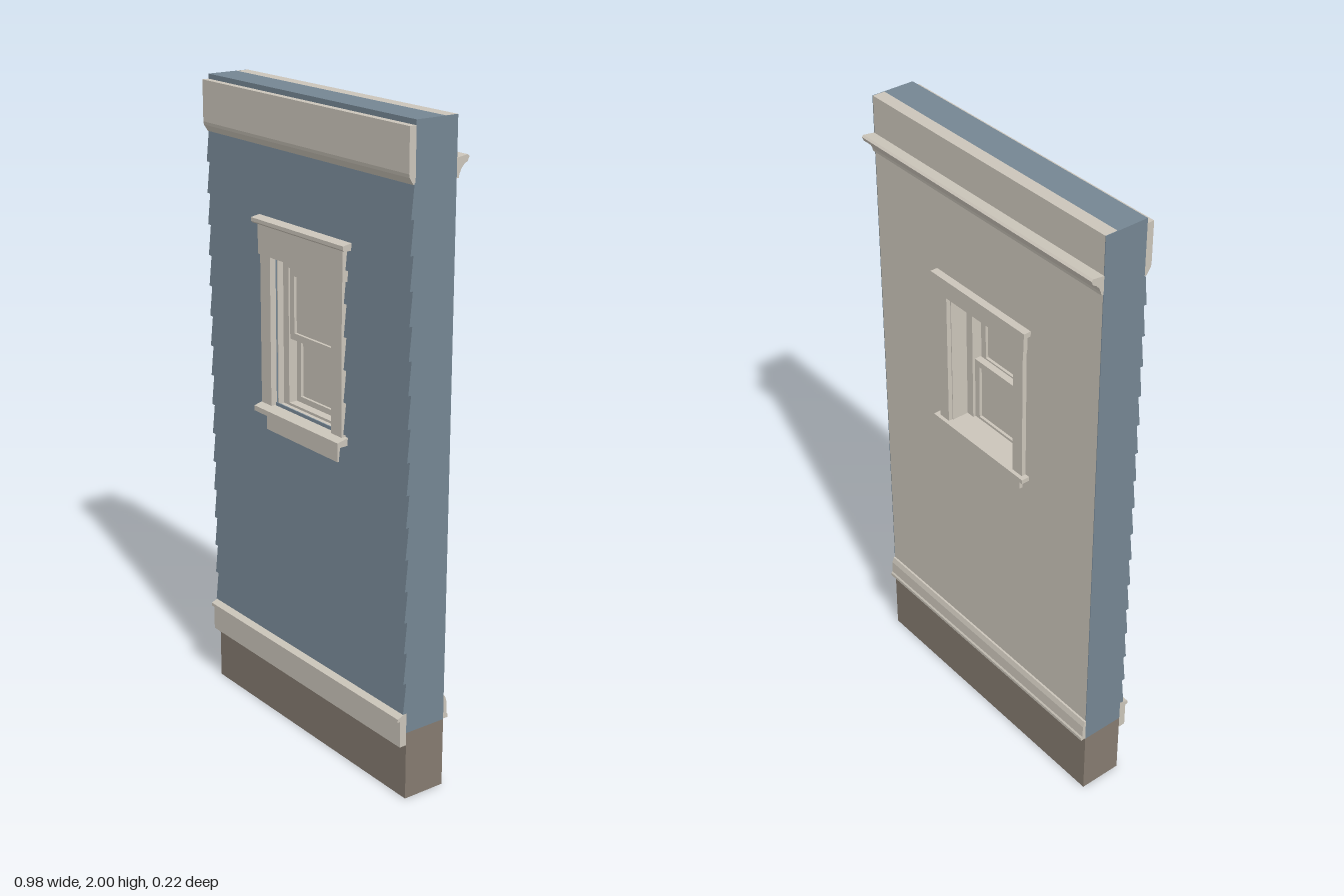
import * as THREE from 'three';

const mat = (name, color) => {
  const m = new THREE.MeshStandardMaterial({ color });
  m.name = name;
  return m;
};

export function createModel() {
  const root = new THREE.Group();
  root.name = 'wallSection';
  const cream = mat('creamTrim', 0xcbc5ba);
  const blue = mat('blueSiding', 0x758693);
  const brown = mat('brownFoundation', 0x857b70);
  const W = 0.49;

  const add = (parent, name, geo, material) => {
    const mesh = new THREE.Mesh(geo, material);
    mesh.name = name;
    parent.add(mesh);
    return mesh;
  };
  // box given by its limits on each axis
  const box = (parent, name, material, x0, x1, y0, y1, z0, z1) => {
    const geo = new THREE.BoxGeometry(x1 - x0, y1 - y0, z1 - z0);
    geo.translate((x0 + x1) / 2, (y0 + y1) / 2, (z0 + z1) / 2);
    return add(parent, name, geo, material);
  };
  // [z, y] profile run along x
  const moulding = (parent, name, material, profile, x0, x1) => {
    const shape = new THREE.Shape(profile.map(([z, y]) => new THREE.Vector2(z, y)));
    const geo = new THREE.ExtrudeGeometry(shape, { depth: x1 - x0, bevelEnabled: false });
    geo.rotateY(-Math.PI / 2).translate(x1, 0, 0);
    return add(parent, name, geo, material);
  };
  // rectangular panel with a rectangular hole
  const frame = (parent, name, material, w, y0, y1, hw, h0, h1, z0, z1) => {
    const rect = (a, b, c) => [[-a, b], [a, b], [a, c], [-a, c]].map(p => new THREE.Vector2(...p));
    const shape = new THREE.Shape(rect(w, y0, y1));
    shape.holes.push(new THREE.Path(rect(hw, h0, h1)));
    const geo = new THREE.ExtrudeGeometry(shape, { depth: z1 - z0, bevelEnabled: false });
    geo.translate(0, 0, z0);
    return add(parent, name, geo, material);
  };

  // wall core
  const wall = new THREE.Group();
  wall.name = 'wall';
  root.add(wall);
  box(wall, 'foundation', brown, -W, W, 0, 0.218, -0.07, 0.07);
  frame(wall, 'sheathing', blue, W, 0.218, 2, 0.15, 1.04, 1.505, -0.03, 0.07);
  frame(wall, 'innerPlaster', cream, W - 0.002, 0.218, 2, 0.15, 1.04, 1.505, -0.07, -0.03);
  for (const s of [-1, 1]) {
    const x = s * (W - 0.001);
    box(wall, 'plasterEnd', blue, x - 0.001, x + 0.001, 0.218, 2, -0.07, -0.03);
  }

  // lapped siding boards, split around the window
  const siding = new THREE.Group();
  siding.name = 'siding';
  root.add(siding);
  const rows = 16, start = 0.282, step = (1.835 - start) / rows;
  for (let i = 0; i < rows; i++) {
    const y = start + i * step;
    const profile = [[0.069, y], [0.083, y], [0.073, y + step], [0.069, y + step]];
    if (y > 1.04 && y < 1.5) {
      moulding(siding, 'sidingBoard', blue, profile, -W, -0.16);
      moulding(siding, 'sidingBoard', blue, profile, 0.16, W);
    } else moulding(siding, 'sidingBoard', blue, profile, -W, W);
  }

  // outside bands
  moulding(root, 'frieze', cream,
    [[0.07, 1.83], [0.077, 1.83], [0.09, 1.85], [0.092, 1.86], [0.092, 1.985], [0.07, 1.985]], -W, W);
  box(root, 'waterTable', cream, -W, W, 0.178, 0.265, 0.07, 0.093);
  moulding(root, 'waterTableCap', cream,
    [[0.07, 0.262], [0.102, 0.262], [0.102, 0.272], [0.07, 0.285]], -W, W);

  // inside crown and baseboard
  moulding(root, 'crown', cream, [[-0.07, 1.83], [-0.07, 1.885], [-0.107, 1.89], [-0.113, 1.885],
    [-0.107, 1.872], [-0.096, 1.866], [-0.086, 1.855], [-0.079, 1.84], [-0.077, 1.83]].reverse(), -W, W);
  moulding(root, 'baseboard', cream, [[-0.07, 0.22], [-0.07, 0.295], [-0.075, 0.293],
    [-0.081, 0.275], [-0.083, 0.235], [-0.087, 0.23], [-0.087, 0.22]].reverse(), -W, W);

  // window
  const win = new THREE.Group();
  win.name = 'window';
  root.add(win);
  for (const s of [-1, 1]) {
    const side = (name, a, b, ...r) => box(win, name, cream, Math.min(s * a, s * b), Math.max(s * a, s * b), ...r);
    side('outerSideCasing', 0.15, 0.2, 1.05, 1.51, 0.07, 0.09);
    side('innerSideCasing', 0.15, 0.192, 1.07, 1.505, -0.084, -0.07);
  }
  box(win, 'outerHeadCasing', cream, -0.207, 0.207, 1.51, 1.602, 0.07, 0.093);
  moulding(win, 'outerHeadCap', cream,
    [[0.07, 1.602], [0.1, 1.602], [0.105, 1.607], [0.105, 1.618], [0.07, 1.624]], -0.224, 0.224);
  moulding(win, 'outerSill', cream,
    [[0, 1.03], [0.111, 1.024], [0.111, 1.04], [0.07, 1.05], [0, 1.056]], -0.148, 0.148);
  moulding(win, 'sillNose', cream,
    [[0.07, 1.026], [0.111, 1.024], [0.111, 1.04], [0.07, 1.05]], -0.21, 0.21);
  box(win, 'outerApron', cream, -0.178, 0.178, 0.968, 1.026, 0.07, 0.088);

  box(win, 'innerHeadCasing', cream, -0.195, 0.195, 1.505, 1.556, -0.085, -0.07);
  box(win, 'innerHeadCap', cream, -0.208, 0.208, 1.556, 1.572, -0.094, -0.07);
  box(win, 'innerStool', cream, -0.208, 0.208, 1.056, 1.07, -0.096, -0.07);
  box(win, 'innerStoolDeck', cream, -0.148, 0.148, 1.045, 1.07, -0.07, 0);
  box(win, 'innerApron', cream, -0.18, 0.18, 1.015, 1.056, -0.082, -0.07);

  // jamb lining, stops and the two sashes
  frame(win, 'jamb', cream, 0.151, 1.039, 1.506, 0.147, 1.043, 1.5, -0.07, 0.065);
  frame(win, 'stop', cream, 0.147, 1.043, 1.5, 0.12, 1.06, 1.478, -0.015, 0.045);
  const sash = (name, y0, y1, b, z0, z1) => {
    frame(win, name, cream, 0.12, y0, y1, 0.12 - b, y0 + b, y1 - b, z0, z1);
    const mid = (z0 + z1) / 2;
    box(win, name + 'Pane', cream, b - 0.12, 0.12 - b, y0 + b, y1 - b, mid - 0.002, mid + 0.002);
  };
  sash('upperSash', 1.26, 1.476, 0.021, 0.018, 0.04);
  sash('lowerSash', 1.058, 1.278, 0.02, -0.006, 0.016);

  return root;
}
